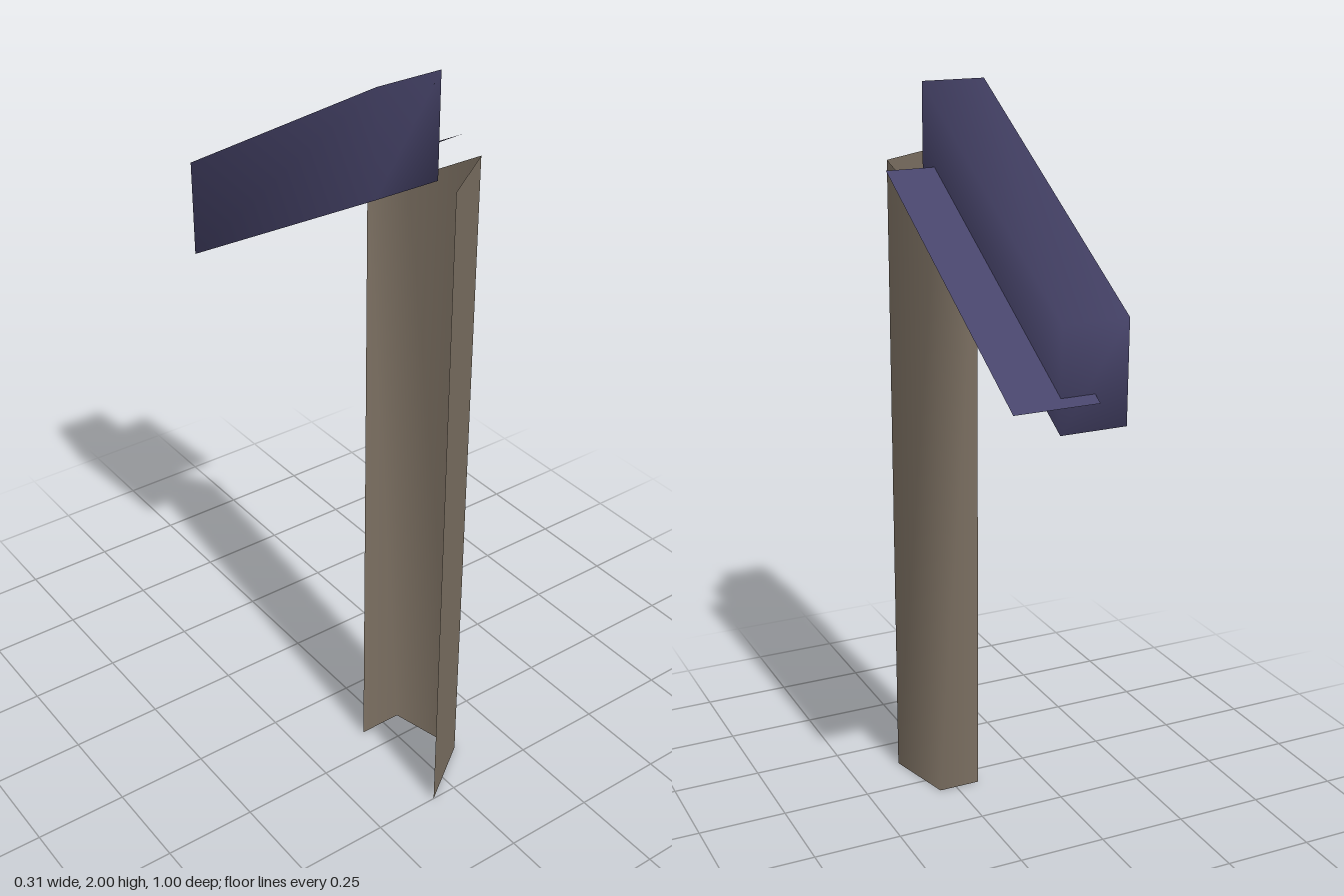
import * as THREE from 'three';

const paint = (name, color) => {
  const m = new THREE.MeshStandardMaterial({ color, side: THREE.DoubleSide });
  m.name = name;
  return m;
};

// Surface from corner points and four-cornered faces; shared corners shade smoothly
function panels(name, points, quads, material) {
  const g = new THREE.BufferGeometry();
  g.setAttribute('position', new THREE.Float32BufferAttribute(points.flat(), 3));
  g.setIndex(quads.flatMap(([a, b, c, d]) => [a, b, c, a, c, d]));
  g.computeVertexNormals();
  const mesh = new THREE.Mesh(g, material);
  mesh.name = name;
  return mesh;
}

// Upright folded sheet following a plan path of [x, z, topHeight]
function foldedSheet(name, path, material) {
  const points = path.flatMap(([x, z, top]) => [[x, 0, z], [x, top, z]]);
  const quads = path.slice(1).map((_, i) => [2 * i, 2 * i + 2, 2 * i + 3, 2 * i + 1]);
  return panels(name, points, quads, material);
}

export function createModel() {
  const model = new THREE.Group();
  model.name = 'postWithSlopingHood';
  const brown = paint('weathered brown', 0x7c7062);
  const slate = paint('slate violet', 0x47446a);

  // Open post: flat front panel, then a folded side and back panel with a slanted top
  const post = new THREE.Group();
  post.name = 'post';
  post.add(
    foldedSheet('postFront', [[-0.07, 0.5, 1.795], [0.1, 0.38, 1.795]], brown),
    foldedSheet('postBack', [[0.1, 0.38, 1.795], [0.05, 0.18, 1.68], [-0.07, 0.18, 1.68]], brown),
  );
  model.add(post);

  // Sloping hood: a sheared box, open underneath
  const [l, r, f, b] = [-0.157, 0.02, 0.327, -0.473];
  const corners = [[f, 1.735, 2], [b, 1.275, 1.54]].flatMap(([z, low, high]) =>
    [[l, low, z], [r, low, z], [r, high, z], [l, high, z]]);
  model.add(panels('hood', corners, [
    [0, 1, 2, 3], // front end
    [5, 4, 7, 6], // back end
    [1, 5, 6, 2], // side at +x
    [4, 0, 3, 7], // side at -x
    [3, 2, 6, 7], // top
  ], slate));

  // Flat sloping sheet running through the hood
  model.add(panels('innerSheet', [
    [-0.07, 1.79, 0.25], [0.155, 1.79, 0.25], [0.155, 1.35, -0.5], [-0.07, 1.35, -0.5],
  ], [[0, 1, 2, 3]], slate));

  return model;
}
